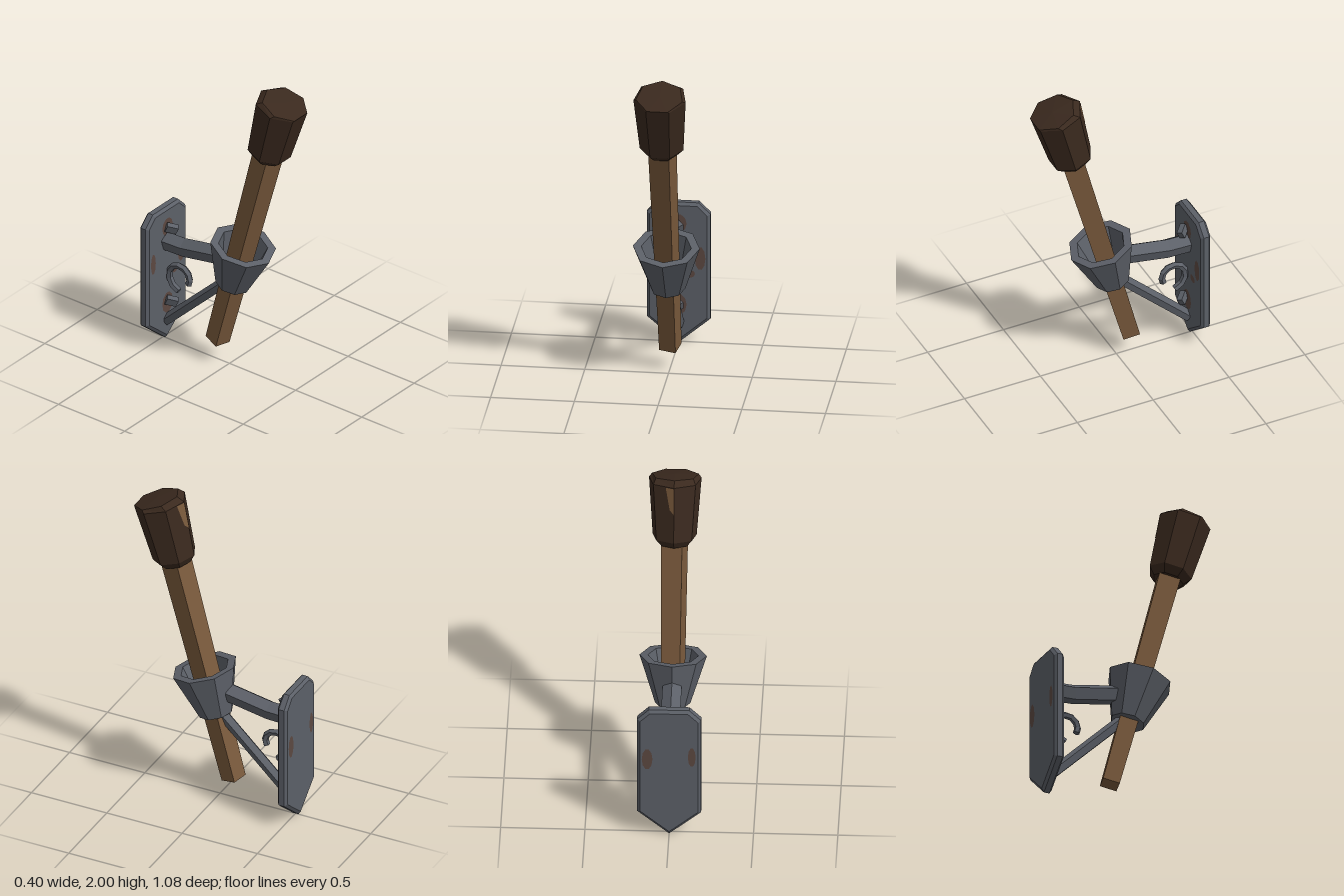
import * as THREE from 'three';

const mat = (name, color) => {
  const m = new THREE.MeshStandardMaterial({ color, flatShading: true, side: THREE.DoubleSide });
  m.name = name;
  return m;
};

export function createModel() {
  const iron = mat('iron', 0x5c6068);
  const wood = mat('wood', 0x7a5a3c);
  const char = mat('charredWood', 0x3a291e);
  const rust = mat('rust', 0x5c4841);

  const model = new THREE.Group();
  model.name = 'wallTorch';
  const add = (parent, name, geometry, material) => {
    const mesh = new THREE.Mesh(geometry, material);
    mesh.name = name;
    parent.add(mesh);
    return mesh;
  };
  const lathe = (profile, sides, start = 0) =>
    new THREE.LatheGeometry(profile.map(([x, y]) => new THREE.Vector2(x, y)), sides, start);

  // Faceted bar along a path of [z, y] points, one ridge on its upper side
  const bar = (path, radius, sides = 5) => {
    const pos = [], index = [], last = path.length - 1;
    path.forEach(([z, y], i) => {
      const p = path[Math.max(i - 1, 0)], q = path[Math.min(i + 1, last)];
      const t = new THREE.Vector2(q[0] - p[0], q[1] - p[1]).normalize();
      for (let j = 0; j < sides; j++) {
        const a = (j / sides) * Math.PI * 2, n = Math.cos(a) * radius;
        pos.push(Math.sin(a) * radius, y - t.x * n, z + t.y * n);
        if (i === last) continue;
        const k = (j + 1) % sides, o = i * sides;
        index.push(o + j, o + k, o + sides + k, o + j, o + sides + k, o + sides + j);
      }
    });
    for (let j = 1; j < sides - 1; j++) {
      const o = last * sides;
      index.push(0, j + 1, j, o, o + j, o + j + 1);
    }
    const g = new THREE.BufferGeometry();
    g.setAttribute('position', new THREE.Float32BufferAttribute(pos, 3));
    g.setIndex(index);
    g.computeVertexNormals();
    return g;
  };

  // Bevelled wall plate with a pointed foot
  const outline = [[0, 0], [0.19, 0.16], [0.19, 0.83], [0.12, 0.9], [-0.12, 0.9], [-0.19, 0.83], [-0.19, 0.16]];
  const plate = new THREE.ExtrudeGeometry(new THREE.Shape(outline.map(([x, y]) => new THREE.Vector2(x, y))), {
    depth: 0.035, bevelEnabled: true, bevelThickness: 0.015, bevelSize: 0.018, bevelOffset: -0.018, bevelSegments: 1,
  });
  plate.translate(0, 0, -0.52);
  add(model, 'wallPlate', plate, iron);

  // Rust spots: x, y, half width, half height, also on the back
  const spots = [
    [-0.135, 0.57, 0.023, 0.07, true], [0.13, 0.55, 0.032, 0.075, true],
    [0.07, 0.45, 0.03, 0.025, false], [0, 0.77, 0.05, 0.06, false], [0, 0.25, 0.05, 0.07, false],
  ];
  for (const [x, y, w, h, both] of spots) {
    for (const side of both ? [1, -1] : [1]) {
      const spot = add(model, 'rustSpot', new THREE.CircleGeometry(1, 10), rust);
      spot.scale.set(w, h, 1);
      spot.rotation.y = side > 0 ? 0 : Math.PI;
      spot.position.set(x, y, side > 0 ? -0.468 : -0.537);
    }
  }

  // Bolts
  for (const y of [0.77, 0.27]) {
    const bolt = add(model, 'bolt', new THREE.BoxGeometry(0.035, 0.05, 0.07), iron);
    bolt.position.set(0, y, -0.437);
    bolt.rotation.set(0.45, 0.75, 0);
  }

  // Bent upper arm, diagonal brace and scroll ornament
  add(model, 'upperArm', bar([[-0.06, 0.728], [-0.33, 0.68], [-0.48, 0.675]], 0.06), iron);
  add(model, 'brace', bar([[-0.02, 0.56], [-0.475, 0.125]], 0.036), iron);
  const scroll = [];
  for (let i = 0; i <= 9; i++) {
    const a = THREE.MathUtils.degToRad(-25 + (i / 9) * 285), r = 0.063 + (i / 9) * 0.037;
    scroll.push([-0.366 + Math.cos(a) * r, 0.455 + Math.sin(a) * r]);
  }
  add(model, 'scroll', bar(scroll, 0.021), iron);

  // Leaning torch: local y runs along the stick
  const torch = new THREE.Group();
  torch.name = 'torch';
  torch.position.set(0, 0.135, -0.09);
  torch.rotation.x = THREE.MathUtils.degToRad(15.1);
  model.add(torch);

  const stick = new THREE.CylinderGeometry(0.096, 0.073, 1.75, 4);
  stick.rotateY(Math.PI / 4 - 0.24).translate(0, 0.875, 0);
  add(torch, 'stick', stick, wood);

  // Hollow eight-sided cup
  const cup = add(torch, 'cup', lathe([[0, 0], [0.105, 0], [0.2, 0.3], [0.15, 0.3], [0.09, 0.05], [0, 0.05]], 8), iron);
  cup.position.y = 0.4425;

  // Seven-sided charred head with a slanted top
  const headGeo = lathe([[0, 0], [0.095, 0], [0.134, 0.045], [0.16, 0.405], [0.142, 0.425], [0, 0.432]], 7, Math.PI);
  const p = headGeo.attributes.position;
  for (let i = 0; i < p.count; i++) {
    if (p.getY(i) < 0.41) continue;
    p.setY(i, p.getY(i) - 0.1 * p.getZ(i));
    p.setZ(i, p.getZ(i) + 0.02);
  }
  const head = add(torch, 'charredHead', headGeo, char);
  head.position.y = 1.455;

  // Bare wood sliver beside the back edge of the head
  const turn = Math.PI * 5 / 7;
  const patch = [[0.4, 0], [0.23, 0], [0.26, 0.22], [0.4, 0.4]].flatMap(([t, u]) => {
    const r = 0.134 + (t - 0.045) * 0.072 + 0.002;
    return [Math.sin(turn) * r * u, t, -r * (1 - u) + Math.cos(turn) * r * u];
  });
  const patchGeo = new THREE.BufferGeometry();
  patchGeo.setAttribute('position', new THREE.Float32BufferAttribute(patch, 3));
  patchGeo.setIndex([0, 2, 1, 0, 3, 2]);
  patchGeo.computeVertexNormals();
  add(head, 'bareWoodPatch', patchGeo, wood);

  return model;
}
